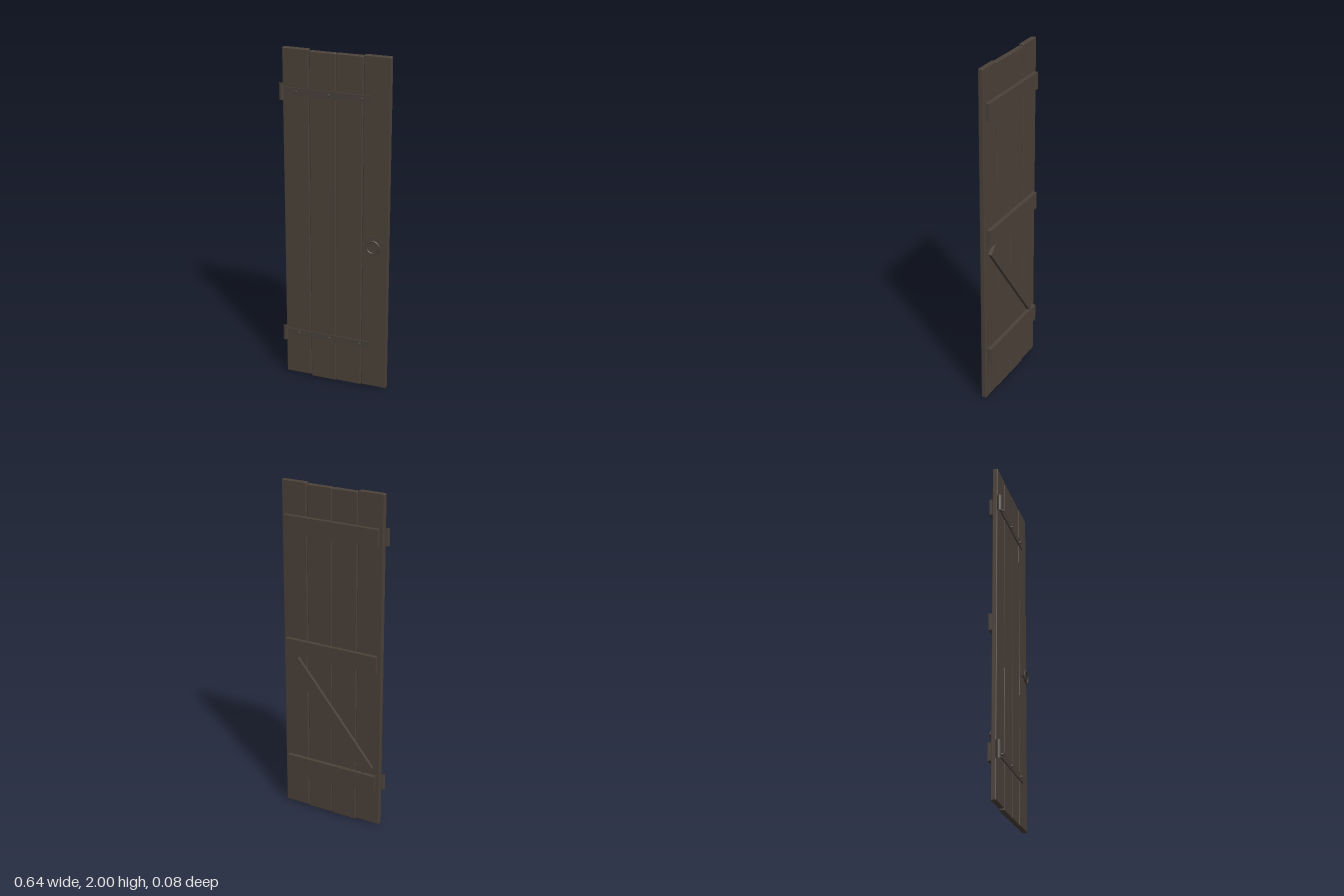
import * as THREE from 'three';
import { RoundedBoxGeometry } from 'three/addons/geometries/RoundedBoxGeometry.js';

export function createModel() {
  const door = new THREE.Group();
  door.name = 'plankDoor';
  const wood = new THREE.MeshStandardMaterial({ color: 0x4a4038 });
  wood.name = 'darkWood';
  const iron = new THREE.MeshStandardMaterial({ color: 0x463f38 });
  iron.name = 'agedIron';

  const add = (name, geometry, material, x, y, z) => {
    const mesh = new THREE.Mesh(geometry, material);
    mesh.name = name;
    mesh.position.set(x, y, z);
    door.add(mesh);
    return mesh;
  };
  const box = (name, material, x0, x1, y0, y1, z0, z1) =>
    add(name, new THREE.BoxGeometry(x1 - x0, y1 - y0, z1 - z0), material,
      (x0 + x1) / 2, (y0 + y1) / 2, (z0 + z1) / 2);

  // Four upright planks with softened edges and slightly uneven ends
  const planks = [
    [-0.304, -0.151, 0.008, 2],
    [-0.147, 0.006, 0, 1.992],
    [0.009, 0.162, 0.003, 1.993],
    [0.166, 0.319, 0.008, 2],
  ];
  for (const [x0, x1, y0, y1] of planks) {
    add('plank', new RoundedBoxGeometry(x1 - x0, y1 - y0, 0.03, 2, 0.005), wood,
      (x0 + x1) / 2, (y0 + y1) / 2, -0.002);
  }

  // Horizontal battens across the back
  for (const y of [0.28, 1.03, 1.76]) {
    box('backBatten', wood, -0.28, 0.295, y - 0.05, y + 0.05, -0.041, -0.017);
  }

  // Diagonal brace between the lower two battens
  const low = new THREE.Vector2(-0.235, 0.357);
  const high = new THREE.Vector2(0.25, 0.95);
  const span = high.clone().sub(low);
  const brace = add('diagonalBrace', new THREE.BoxGeometry(span.length(), 0.075, 0.02), wood,
    (low.x + high.x) / 2, (low.y + high.y) / 2, -0.027);
  brace.rotation.z = span.angle();

  // Strap hinges: open barrel, flat strap and three nails each
  for (const y of [0.28, 1.76]) {
    add('hingeBarrel', new THREE.CylinderGeometry(0.015, 0.015, 0.1, 16, 1, true), iron,
      -0.304, y, 0.025);
    box('hingeStrap', iron, -0.305, 0.207, y - 0.021, y + 0.021, 0.014, 0.021);
    for (const x of [-0.222, -0.032, 0.157]) {
      const nail = add('strapNail', new THREE.CylinderGeometry(0.006, 0.009, 0.008, 10), iron,
        x, y, 0.025);
      nail.rotation.x = Math.PI / 2;
    }
  }

  // Ring pull with back plate and post
  box('handlePlate', iron, 0.205, 0.265, 0.912, 0.97, 0.013, 0.018);
  const post = add('handlePost', new THREE.CylinderGeometry(0.006, 0.006, 0.02, 10), iron,
    0.235, 0.945, 0.026);
  post.rotation.x = Math.PI / 2;
  add('handleRing', new THREE.TorusGeometry(0.037, 0.0055, 8, 28), iron, 0.235, 0.909, 0.033);

  return door;
}
